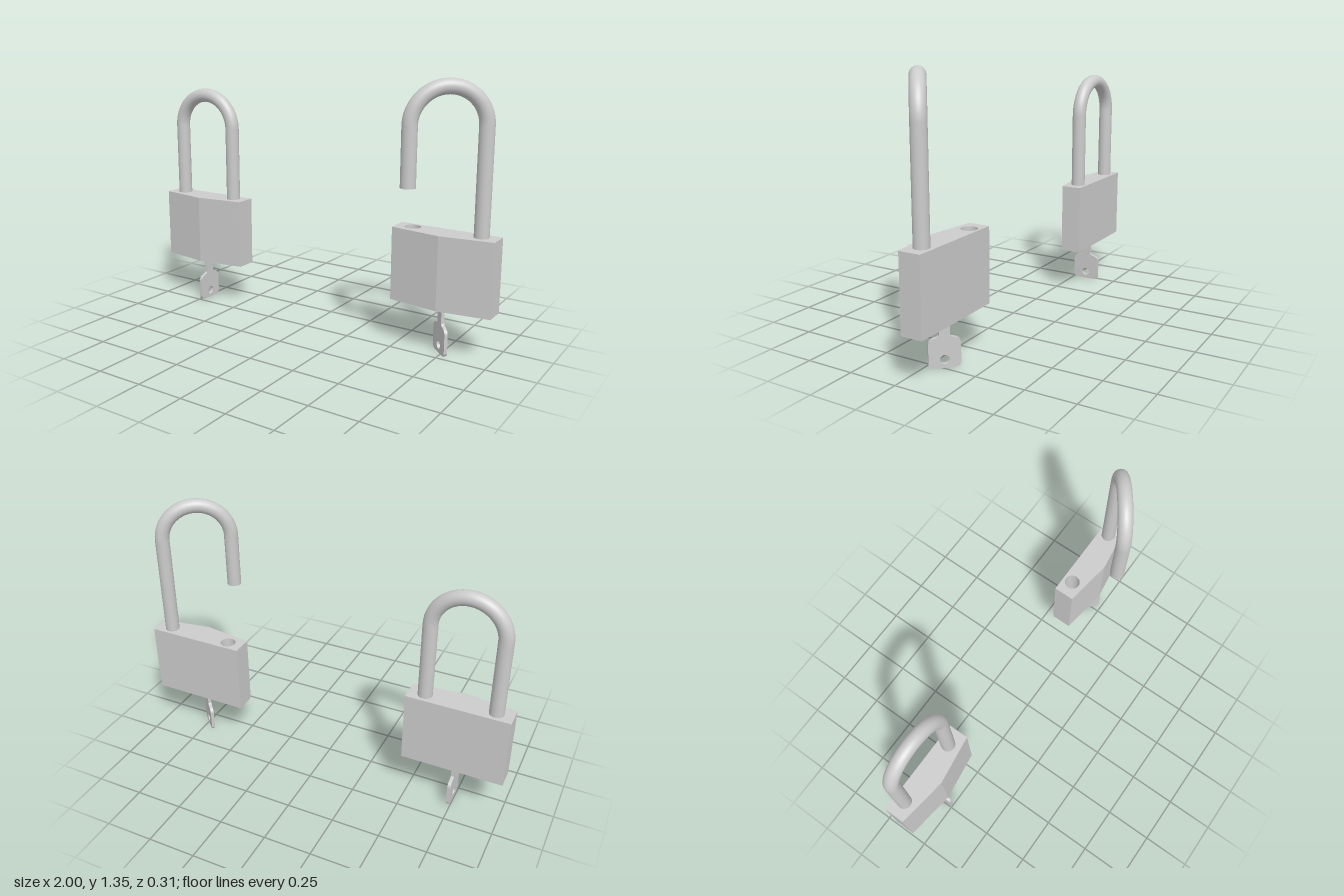
import * as THREE from 'three';

const material = new THREE.MeshStandardMaterial({ color: 0xcccccc });
const BASE = 0.235, TOP = 0.61, HOLE_DEPTH = 0.18;
const HALF_WIDTH = 0.263, SPAN = 0.178, ROD = 0.037, SHACKLE_Z = -0.098, KEY_Z = -0.076;

function part(name, geometry, x = 0, y = 0, z = 0) {
  const mesh = new THREE.Mesh(geometry, material);
  mesh.name = name;
  mesh.position.set(x, y, z);
  return mesh;
}

// Five-sided slab with a shallow ridge at the front, optionally pierced for the shackle
function bodySlab(name, bottom, top, pierced) {
  const shape = new THREE.Shape([
    [-HALF_WIDTH, 0.152], [-HALF_WIDTH, 0.042], [0, 0.005], [HALF_WIDTH, 0.042], [HALF_WIDTH, 0.152],
  ].map(([x, y]) => new THREE.Vector2(x, y)));
  if (pierced) {
    shape.holes.push(new THREE.Path().absarc(-SPAN, -SHACKLE_Z, 0.04, 0, Math.PI * 2, true));
  }
  const geometry = new THREE.ExtrudeGeometry(shape, { depth: top - bottom, bevelEnabled: false, curveSegments: 24 });
  geometry.rotateX(-Math.PI / 2);
  return part(name, geometry, 0, bottom, 0);
}

// U-shaped rod, pivoting about its long leg on the +x side
function makeShackle(archY, longEnd, freeEnd) {
  const shackle = new THREE.Group();
  shackle.name = 'shackle';
  const leg = (name, x, end) => part(name,
    new THREE.CylinderGeometry(ROD, ROD, archY - end, 32), x, (archY + end) / 2);
  shackle.add(
    leg('longLeg', 0, longEnd),
    leg('freeLeg', -2 * SPAN, freeEnd),
    part('arch', new THREE.TorusGeometry(SPAN, ROD, 32, 48, Math.PI), -SPAN, archY),
  );
  shackle.position.set(SPAN, 0, SHACKLE_Z);
  return shackle;
}

// Flat key with a rounded head and a ring hole
function makeKey() {
  const s = new THREE.Shape();
  s.moveTo(-0.05, 0);
  s.lineTo(0.05, 0);
  s.quadraticCurveTo(0.075, 0.003, 0.075, 0.025);
  s.lineTo(0.075, 0.115);
  s.quadraticCurveTo(0.074, 0.138, 0.045, 0.145);
  s.quadraticCurveTo(0.025, 0.148, 0.025, 0.16);
  s.lineTo(0.025, BASE);
  s.lineTo(-0.025, BASE);
  s.lineTo(-0.025, 0.16);
  s.quadraticCurveTo(-0.025, 0.148, -0.045, 0.145);
  s.quadraticCurveTo(-0.074, 0.138, -0.075, 0.115);
  s.lineTo(-0.075, 0.025);
  s.quadraticCurveTo(-0.075, 0.003, -0.05, 0);
  s.holes.push(new THREE.Path().absarc(0, 0.04, 0.022, 0, Math.PI * 2, true));
  const geometry = new THREE.ExtrudeGeometry(s, { depth: 0.017, bevelEnabled: false, curveSegments: 10 });
  geometry.translate(0, 0, -0.0085);
  return part('key', geometry, 0, 0, KEY_Z);
}

function makePadlock(name, x, open) {
  const lock = new THREE.Group();
  lock.name = name;
  lock.position.x = x;

  // Body, with an empty shackle socket when open
  if (open) {
    lock.add(bodySlab('lowerBody', BASE, TOP - HOLE_DEPTH, false));
    lock.add(bodySlab('upperBody', TOP - HOLE_DEPTH, TOP, true));
  } else {
    lock.add(bodySlab('body', BASE, TOP, false));
  }

  // Lock cylinder under the body
  lock.add(part('lockCylinder', new THREE.CylinderGeometry(0.052, 0.052, 0.02, 32), 0, BASE + 0.003, KEY_Z));

  // Shackle raised and swung forward when open
  const shackle = open ? makeShackle(1.137, 0.55, 0.852) : makeShackle(1.005, 0.55, 0.55);
  if (open) shackle.rotation.y = THREE.MathUtils.degToRad(37);
  lock.add(shackle);

  // Key turned in the lock
  const key = makeKey();
  key.rotation.y = open ? -Math.PI / 4 : Math.PI / 2;
  lock.add(key);
  return lock;
}

export function createModel() {
  const model = new THREE.Group();
  model.name = 'padlocks';
  model.add(makePadlock('closedPadlock', -0.737, false), makePadlock('openPadlock', 0.737, true));
  return model;
}
